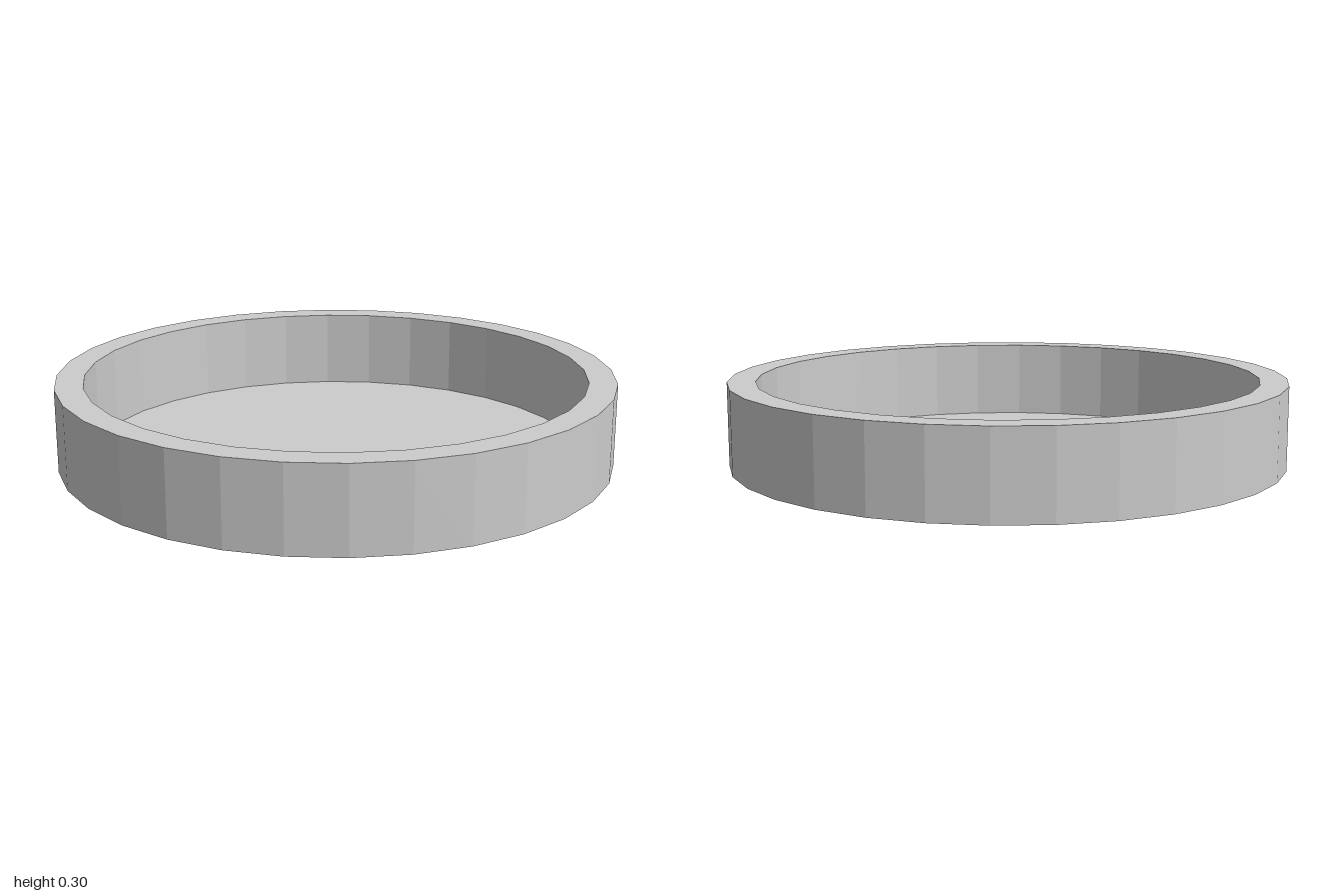
import * as THREE from 'three';

const SIDES = 32;
const OUTER = 1, INNER = 0.9, HEIGHT = 0.3, FLOOR_Y = 0.01;

export function createModel() {
  const group = new THREE.Group();
  group.name = 'shallowTray';

  // Faceted ring wall: closed rectangular profile, outside up, inside down
  const profile = [
    [OUTER, 0], [OUTER, HEIGHT], [INNER, HEIGHT], [INNER, 0], [OUTER, 0],
  ].map(([r, y]) => new THREE.Vector2(r, y));
  const wall = new THREE.Mesh(
    new THREE.LatheGeometry(profile, SIDES),
    new THREE.MeshStandardMaterial({ color: 0xcccccc, flatShading: true }),
  );
  wall.name = 'ringWall';
  group.add(wall);

  // Thin floor, set slightly above the bottom of the wall
  const floor = new THREE.Mesh(
    new THREE.CircleGeometry(INNER, SIDES).rotateX(-Math.PI / 2),
    new THREE.MeshStandardMaterial({ color: 0xcccccc, flatShading: true, side: THREE.DoubleSide }),
  );
  floor.name = 'floor';
  floor.position.y = FLOOR_Y;
  group.add(floor);

  return group;
}
